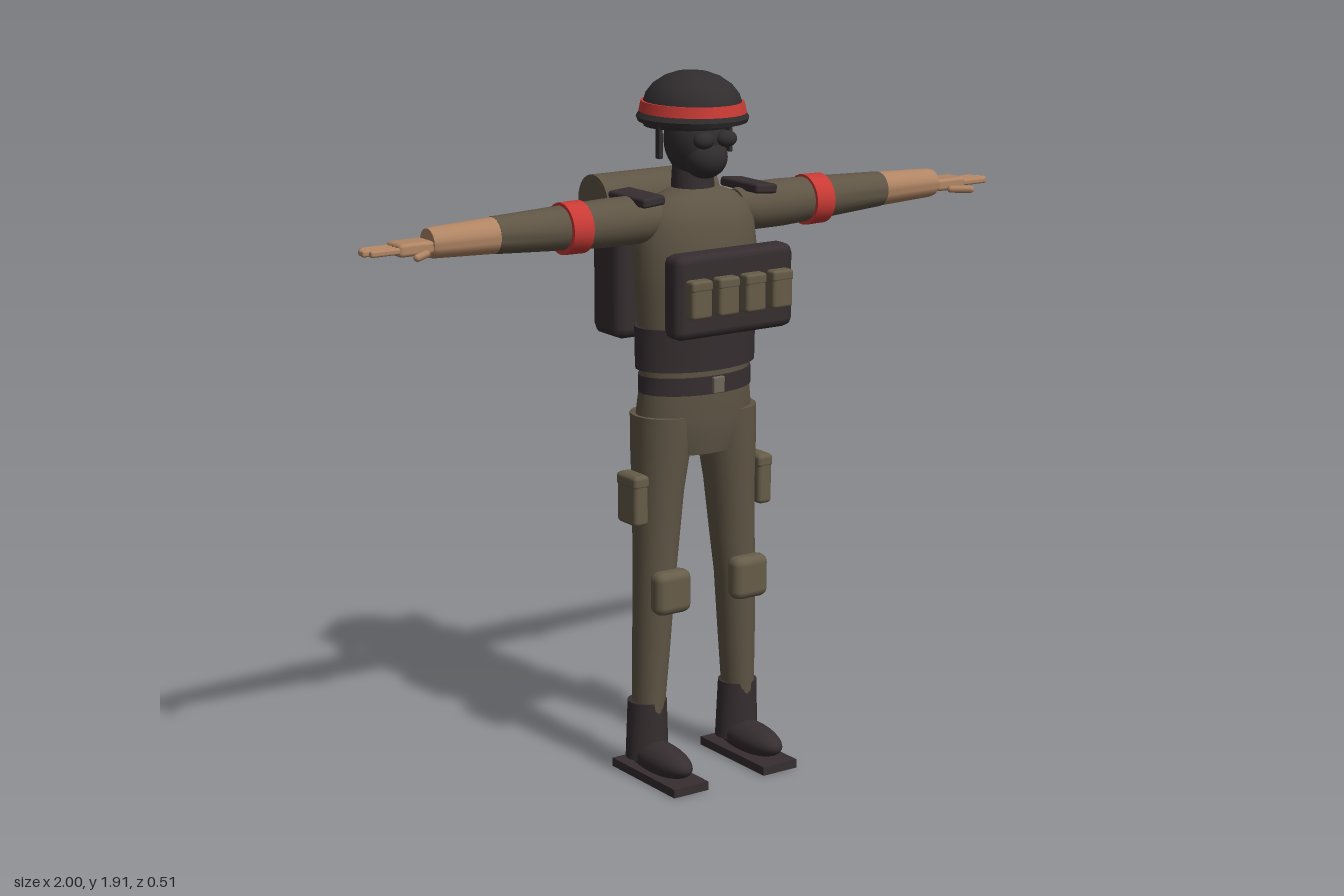
import * as THREE from 'three';
import { toCreasedNormals } from 'three/addons/utils/BufferGeometryUtils.js';
import { RoundedBoxGeometry } from 'three/addons/geometries/RoundedBoxGeometry.js';

const mat = (name, color) => {
  const m = new THREE.MeshStandardMaterial({ color });
  m.name = name;
  return m;
};

// Stacked elliptical sections, top to bottom: [y, x, z, radiusX, radiusZ]
function loft(rows, sides = 28) {
  const n = rows.length - 1;
  const g = new THREE.CylinderGeometry(1, 1, 1, sides, n);
  const p = g.attributes.position;
  for (let i = 0; i < p.count; i++) {
    const [y, cx, cz, rx, rz] = rows[Math.round((0.5 - p.getY(i)) * n)];
    p.setXYZ(i, cx + p.getX(i) * rx, y, cz + p.getZ(i) * rz);
  }
  return toCreasedNormals(g, 0.75);
}

export function createModel() {
  const fabric = mat('olive fabric', 0x5f5545);
  const pouchMat = mat('pouch canvas', 0x665c49);
  const dark = mat('dark gear', 0x362e30);
  const black = mat('helmet black', 0x312d2e);
  const red = mat('red band', 0xc93a35);
  const skin = mat('skin', 0xb08564);
  const metal = mat('buckle metal', 0x6e665a);

  const model = new THREE.Group();
  model.name = 'soldier';
  const add = (name, geo, material, x = 0, y = 0, z = 0) => {
    const m = new THREE.Mesh(geo, material);
    m.name = name;
    m.position.set(x, y, z);
    model.add(m);
    return m;
  };
  const box = (w, h, d, r = 0.01, seg = 2) => new RoundedBoxGeometry(w, h, d, seg, r);
  const ball = (rx, ry, rz) => new THREE.SphereGeometry(1, 28, 18).scale(rx, ry, rz);

  // Torso, waist and pelvis
  add('torso', loft([
    [1.61, 0, 0.03, 0.065, 0.055], [1.59, 0, 0.03, 0.12, 0.078], [1.56, 0, 0.032, 0.158, 0.095],
    [1.52, 0, 0.033, 0.176, 0.106], [1.45, 0, 0.033, 0.184, 0.113], [1.35, 0, 0.033, 0.178, 0.112],
    [1.25, 0, 0.032, 0.17, 0.107], [1.1, 0, 0.03, 0.162, 0.102]]), fabric);
  add('waistWrap', loft([
    [1.25, 0, 0.033, 0.18, 0.115], [1.135, 0, 0.033, 0.178, 0.112]]), dark);
  add('belt', loft([
    [1.118, 0, 0.031, 0.168, 0.108], [1.07, 0, 0.031, 0.168, 0.108]]), dark);
  add('beltBuckle', box(0.036, 0.045, 0.02, 0.004), metal, 0, 1.094, 0.138);
  add('pelvis', loft([
    [1.1, 0, 0.03, 0.162, 0.102], [1.0, 0, 0.026, 0.176, 0.103], [0.95, 0, 0.024, 0.165, 0.098],
    [0.9, 0, 0.022, 0.13, 0.09]]), fabric);

  // Chest rig with four pouches
  add('chestRig', box(0.376, 0.226, 0.075, 0.025, 1), dark, 0, 1.356, 0.187);
  for (const x of [-0.129, -0.043, 0.043, 0.129]) {
    add('chestPouch', box(0.064, 0.1, 0.04, 0.01), pouchMat, x, 1.354, 0.235);
    add('chestPouchFlap', box(0.066, 0.03, 0.044, 0.008), pouchMat, x, 1.391, 0.234);
  }

  // Backpack with bedroll
  add('backpack', box(0.3, 0.305, 0.138, 0.03, 1), dark, 0, 1.335, -0.18);
  add('backpackTrim', box(0.3, 0.024, 0.142, 0.008), red, 0, 1.505, -0.18);
  add('bedroll', new THREE.CylinderGeometry(0.072, 0.072, 0.364, 28).rotateZ(Math.PI / 2),
    fabric, 0, 1.557, -0.181);

  // Masked head and neck
  add('neck', new THREE.CylinderGeometry(0.054, 0.06, 0.1, 24), dark, 0, 1.625, 0.022);
  add('head', ball(0.078, 0.1, 0.093), black, 0, 1.735, 0.033);
  add('jaw', ball(0.06, 0.058, 0.06), black, 0, 1.695, 0.078);

  // Helmet: dome, red band, brim and lower liner
  const hz = 0.021;
  add('helmetDome', loft([
    [1.915, 0, hz, 0.012, 0.014], [1.911, 0, hz, 0.04, 0.047], [1.9, 0, hz, 0.07, 0.082],
    [1.88, 0, hz, 0.098, 0.115], [1.855, 0, hz, 0.117, 0.137], [1.825, 0, hz, 0.127, 0.147],
    [1.785, 0, hz, 0.13, 0.15]], 32), black);
  add('helmetBand', loft([
    [1.836, 0, hz, 0.13, 0.15], [1.808, 0, hz, 0.136, 0.156]], 32), red);
  add('helmetBrim', loft([
    [1.808, 0, hz, 0.136, 0.153], [1.795, 0, hz, 0.145, 0.158], [1.783, 0, hz, 0.14, 0.153]], 32), black);
  add('helmetLiner', loft([
    [1.79, 0, 0.01, 0.125, 0.128], [1.77, 0, 0.005, 0.12, 0.12]], 32), black);

  for (const s of [1, -1]) {
    const side = s > 0 ? 'left' : 'right';
    const along = (rows) => loft(rows.map(([x, y, z, r]) => [x, s * (y - 1.54), z, r, r]), 24)
      .rotateZ(-s * Math.PI / 2).translate(0, 1.54, 0);

    // Head fittings
    add(side + 'HelmetStrap', box(0.012, 0.085, 0.02, 0.003), black, s * 0.112, 1.735, 0.03);
    add(side + 'Goggle', ball(0.03, 0.022, 0.022), black, s * 0.036, 1.745, 0.125);

    // Shoulder pad
    const pad = add(side + 'ShoulderPad', box(0.07, 0.026, 0.17, 0.008), dark, s * 0.18, 1.596, 0.025);
    pad.rotation.z = -s * 0.08;

    // Sleeve, forearm and red arm band
    add(side + 'Sleeve', along([
      [0.62, 1.537, 0.026, 0.048], [0.42, 1.539, 0.028, 0.058], [0.28, 1.54, 0.03, 0.064],
      [0.18, 1.54, 0.031, 0.064], [0.13, 1.54, 0.031, 0.05]]), fabric);
    add(side + 'Forearm', along([
      [0.808, 1.537, 0.025, 0.037], [0.795, 1.537, 0.025, 0.04], [0.61, 1.537, 0.026, 0.0475]]), skin);
    add(side + 'ArmBand', along([
      [0.418, 1.541, 0.03, 0.068], [0.358, 1.541, 0.03, 0.069]]), red);

    // Hand with four fingers and thumb
    add(side + 'Palm', box(0.1, 0.034, 0.074, 0.01), skin, s * 0.856, 1.537, 0.024);
    [0.085, 0.099, 0.096, 0.084].forEach((len, i) => {
      add(side + 'Finger', box(len, 0.017, 0.016, 0.006), skin,
        s * (0.9 + len / 2), 1.537, 0.051 - i * 0.018);
    });
    const thumb = add(side + 'Thumb', new THREE.CapsuleGeometry(0.01, 0.055, 4, 10), skin,
      s * 0.862, 1.527, 0.092);
    thumb.quaternion.setFromUnitVectors(new THREE.Vector3(0, 1, 0),
      new THREE.Vector3(-s * 0.8, 0, -0.6).normalize());
    thumb.rotation.set(0, 0, 0);
    thumb.geometry.rotateZ(Math.PI / 2).rotateY(s * 0.64);
    if (s > 0) thumb.geometry.rotateY(-1.28);
    else thumb.geometry.rotateY(1.28);

    // Trouser leg
    add(side + 'Leg', loft([
      [1.01, s * 0.1, 0.025, 0.085, 0.093], [0.9, s * 0.109, 0.026, 0.076, 0.087],
      [0.8, s * 0.117, 0.027, 0.067, 0.077], [0.65, s * 0.126, 0.029, 0.06, 0.068],
      [0.53, s * 0.134, 0.031, 0.054, 0.062], [0.36, s * 0.142, 0.029, 0.049, 0.057],
      [0.18, s * 0.15, 0.026, 0.042, 0.05]]), fabric);

    // Thigh pouch and knee pad
    add(side + 'ThighPouch', box(0.045, 0.14, 0.092, 0.012), pouchMat, s * 0.203, 0.79, 0.035);
    add(side + 'ThighPouchFlap', box(0.049, 0.035, 0.094, 0.01), pouchMat, s * 0.203, 0.84, 0.035);
    add(side + 'KneePad', box(0.112, 0.12, 0.058, 0.024), pouchMat, s * 0.127, 0.533, 0.102);

    // Boot
    add(side + 'BootShaft', loft([
      [0.212, s * 0.151, 0.023, 0.054, 0.053], [0.05, s * 0.15, 0.02, 0.06, 0.057]]), dark);
    add(side + 'BootFoot', ball(0.053, 0.044, 0.14), dark, s * 0.15, 0.06, 0.08);
    add(side + 'BootSole', new THREE.BoxGeometry(0.112, 0.024, 0.3), dark, s * 0.148, 0.012, 0.08);
  }
  return model;
}
